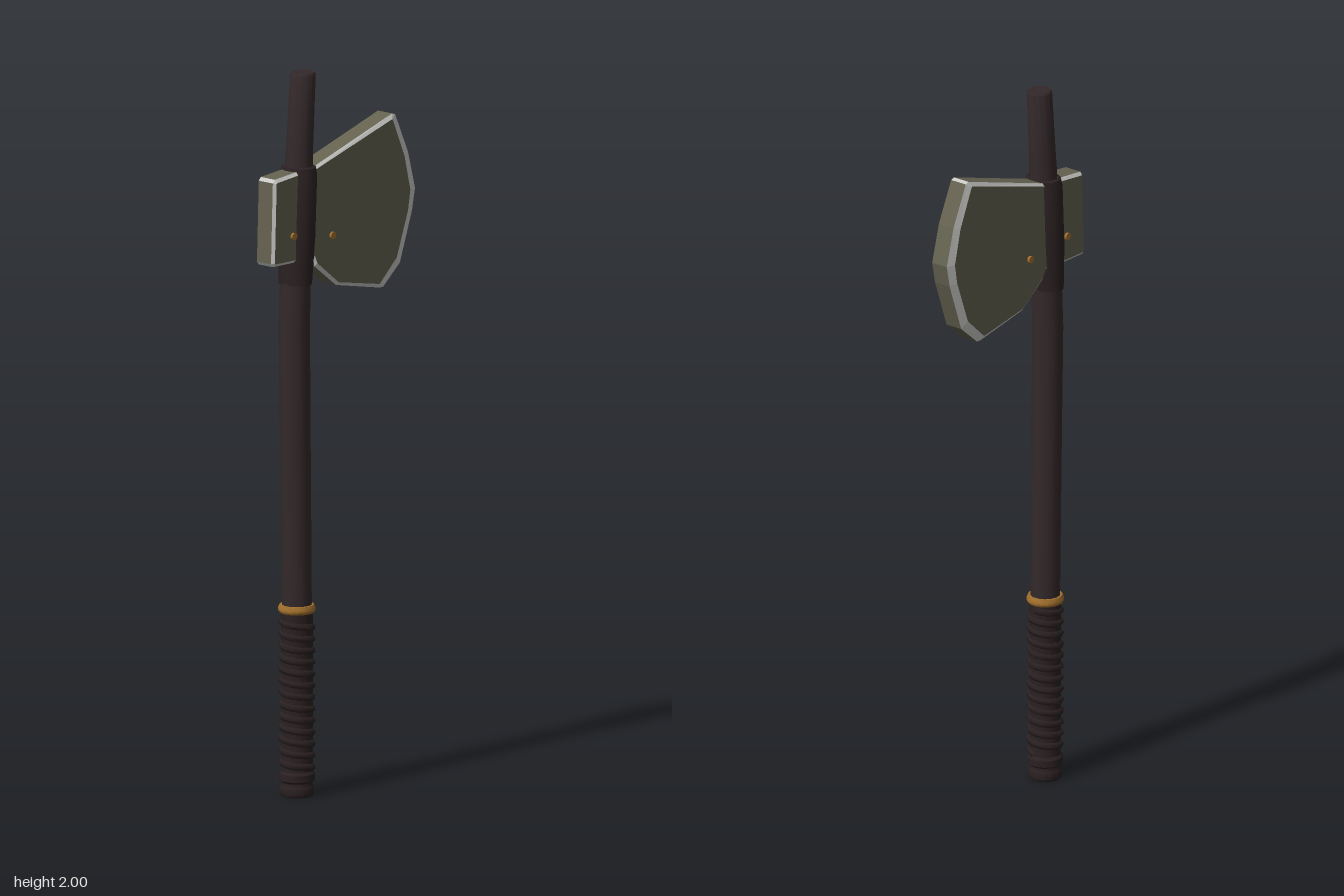
import * as THREE from 'three';
import { toCreasedNormals } from 'three/addons/utils/BufferGeometryUtils.js';

const mat = (name, color, side = THREE.FrontSide) => {
  const m = new THREE.MeshStandardMaterial({ color, side });
  m.name = name;
  return m;
};

// Centre line of the slightly bent haft: [y, x]
const CENTRE = [[0, -0.156], [0.55, -0.157], [1, -0.163], [1.3, -0.167], [1.45, -0.162], [1.75, -0.149], [2, -0.132]];
function centreX(y) {
  for (let i = 1; i < CENTRE.length; i++) {
    const [y0, x0] = CENTRE[i - 1], [y1, x1] = CENTRE[i];
    if (y <= y1) return x0 + (x1 - x0) * (y - y0) / (y1 - y0);
  }
  return CENTRE[CENTRE.length - 1][1];
}

// Turned part that follows the centre line; profile is [radius, y] from bottom to top
function turned(profile, sides = 14, zScale = 1) {
  const geo = new THREE.LatheGeometry(profile.map(([r, y]) => new THREE.Vector2(r, y)), sides);
  const p = geo.attributes.position;
  for (let i = 0; i < p.count; i++) p.setXYZ(i, p.getX(i) + centreX(p.getY(i)), p.getY(i), p.getZ(i) * zScale);
  return toCreasedNormals(geo, 0.6);
}

// Blade outline, counter-clockwise: [outer x, outer y, face x, face y, 1 if the rim piece to the next corner is a polished chamfer]
const BLADE = [
  [0.193, 1.836, 0.186, 1.822, 0],
  [-0.11, 1.742, -0.11, 1.734, 0],
  [-0.272, 1.728, -0.27, 1.719, 1],
  [-0.28, 1.719, -0.272, 1.717, 0],
  [-0.287, 1.496, -0.279, 1.498, 1],
  [-0.28, 1.487, -0.277, 1.495, 0],
  [-0.12, 1.485, -0.12, 1.493, 0],
  [-0.115, 1.462, -0.11, 1.471, 0],
  [-0.03, 1.397, -0.026, 1.405, 0],
  [0.145, 1.361, 0.135, 1.374, 1],
  [0.158, 1.362, 0.14, 1.377, 0],
  [0.224, 1.418, 0.204, 1.436, 0],
  [0.272, 1.555, 0.249, 1.56, 0],
  [0.284, 1.615, 0.258, 1.615, 0],
  [0.256, 1.72, 0.235, 1.712, 0],
  [0.205, 1.832, 0.189, 1.819, 1],
];
const FACE_Z = 0.033, RIM_Z = 0.026;

function quads(list) {
  const pos = [];
  for (const [a, b, c, d] of list) pos.push(...a, ...b, ...c, ...a, ...c, ...d);
  const geo = new THREE.BufferGeometry();
  geo.setAttribute('position', new THREE.Float32BufferAttribute(pos, 3));
  geo.computeVertexNormals();
  return geo;
}

export function createModel() {
  const wood = mat('dark wood', 0x33282a);
  const leather = mat('dark leather', 0x2a2021);
  const steel = mat('dull steel', 0x656250);
  const polished = mat('polished steel', 0xc9c9c6);
  const brass = mat('brass', 0xa06f2c);

  const model = new THREE.Group();
  model.name = 'axe';
  const add = (name, geo, material, parent = model) => {
    const mesh = new THREE.Mesh(geo, material);
    mesh.name = name;
    parent.add(mesh);
    return mesh;
  };

  // Haft
  add('haft', turned([[0, 0.03], [0.041, 0.03], [0.041, 0.55], [0.042, 1], [0.043, 1.3],
    [0.042, 1.45], [0.04, 1.7], [0.037, 1.8], [0.035, 1.994], [0.031, 2], [0, 2]]), wood);

  // Collar around the eye of the head
  add('collar', turned([[0.042, 1.42], [0.044, 1.47], [0.047, 1.55], [0.047, 1.72],
    [0.043, 1.742], [0.036, 1.745]], 14, 1.18), leather);

  // Grip: core, spiral wrap and end knob
  const grip = new THREE.Group();
  grip.name = 'grip';
  model.add(grip);
  add('gripCore', turned([[0.043, 0.05], [0.044, 0.51]]), leather, grip);
  const turns = 13, path = [];
  for (let i = 0; i <= turns * 14; i++) {
    const a = i / 14 * Math.PI * 2, y = 0.075 + 0.42 * i / (turns * 14);
    path.push(new THREE.Vector3(centreX(y) + 0.04 * Math.cos(a), y, 0.04 * Math.sin(a)));
  }
  add('gripWrap', new THREE.TubeGeometry(new THREE.CatmullRomCurve3(path), turns * 14, 0.011, 6), leather, grip);
  add('endKnob', turned([[0, 0], [0.043, 0], [0.047, 0.006], [0.047, 0.024], [0.042, 0.032], [0.042, 0.038],
    [0.049, 0.044], [0.049, 0.062], [0.043, 0.07]]), leather, grip);

  // Brass ring above the grip
  add('gripRing', turned([[0.04, 0.508], [0.047, 0.508], [0.051, 0.514], [0.051, 0.522], [0.047, 0.53], [0.04, 0.53]], 18), brass);

  // Head: steel faces and rim with polished bevels
  const head = new THREE.Group();
  head.name = 'head';
  model.add(head);
  const faceShape = (s) => new THREE.Shape(BLADE.map(([, , x, y]) => new THREE.Vector2(x * s, y)));
  add('frontFace', new THREE.ShapeGeometry(faceShape(1)).translate(0, 0, FACE_Z), steel, head);
  add('backFace', new THREE.ShapeGeometry(faceShape(-1)).translate(0, 0, FACE_Z).rotateY(Math.PI), steel, head);
  const rim = [], bevels = [];
  BLADE.forEach((a, i) => {
    const b = BLADE[(i + 1) % BLADE.length];
    const outer = (p, s) => [p[0], p[1], s * RIM_Z];
    const inner = (p, s) => [p[2], p[3], s * FACE_Z];
    (a[4] ? bevels : rim).push([outer(a, -1), outer(b, -1), outer(b, 1), outer(a, 1)]);
    bevels.push([outer(a, 1), outer(b, 1), inner(b, 1), inner(a, 1)]);
    bevels.push([outer(b, -1), outer(a, -1), inner(a, -1), inner(b, -1)]);
  });
  add('headRim', quads(rim), steel, head);
  add('headBevels', quads(bevels), polished, head);

  // Rivets through the head
  for (const [x, y] of [[-0.207, 1.562], [-0.053, 1.54]]) {
    const rivet = add('rivet', toCreasedNormals(new THREE.CylinderGeometry(0.01, 0.01, 0.08, 10), 0.7), brass, head);
    rivet.rotation.x = Math.PI / 2;
    rivet.position.set(x, y, 0);
  }
  return model;
}
